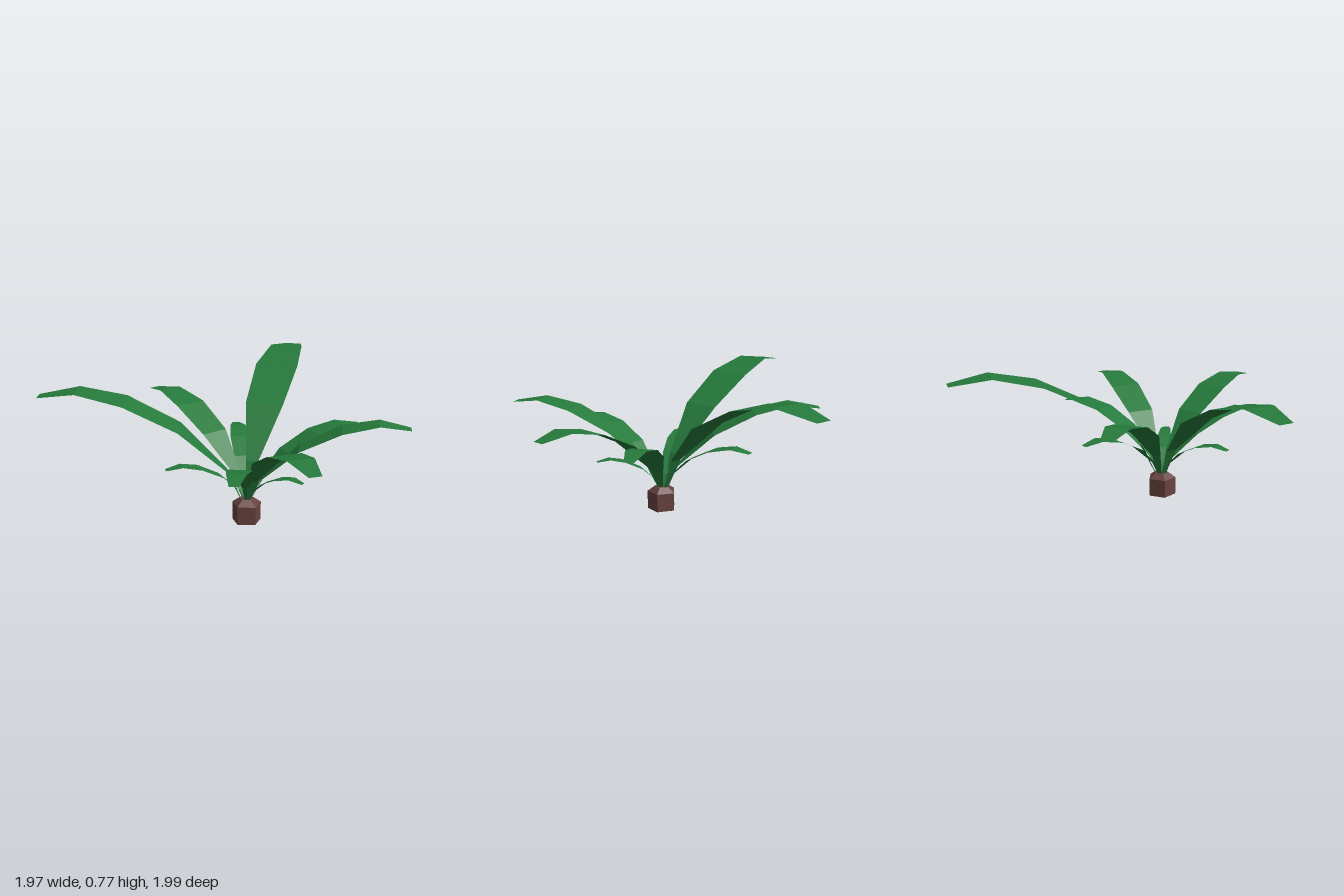
import * as THREE from 'three';

const leafGreen = new THREE.MeshStandardMaterial({ color: 0x267a3c, flatShading: true, side: THREE.DoubleSide });
leafGreen.name = 'leaf green';
const trunkBrown = new THREE.MeshStandardMaterial({ color: 0x684340, flatShading: true });
trunkBrown.name = 'trunk brown';

// Centre of the plant and height where the leaves sprout
const CX = 0.125, CZ = 0.163, SPROUT = 0.11;

// Leaf cross-sections for a leaf of reach 1: [distance out, height, width]
const SECTIONS = [
  [0.02, 0.0, 0.02],
  [0.1, 0.165, 0.058],
  [0.325, 0.375, 0.182],
  [0.585, 0.505, 0.21],
  [0.81, 0.555, 0.16],
  [1.0, 0.525, 0.076],
];

// Leaf tips in plan: [name, x, z]
const TIPS = [
  ['backLongLeaf', 0.42, -0.99],
  ['rightLongLeaf', -0.99, 0.145],
  ['leftLongLeaf', 0.98, 0.255],
  ['frontLongLeaf', 0.432, 0.982],
  ['backRightLeaf', -0.435, -0.51],
  ['backLeftLeaf', 0.755, -0.125],
  ['frontLeaf', 0.063, 0.8],
  ['backSmallLeaf', 0.058, -0.375],
  ['frontLeftSmallLeaf', 0.415, 0.388],
  ['frontRightSmallLeaf', -0.3, 0.325],
];

// Arching flat strip running along +z
function leafGeometry() {
  const pos = [], index = [];
  SECTIONS.forEach(([d, h, w], i) => {
    pos.push(-w / 2, h, d, w / 2, h, d);
    if (i > 0) {
      const a = 2 * i - 2;
      index.push(a, a + 2, a + 1, a + 1, a + 2, a + 3);
    }
  });
  const indexed = new THREE.BufferGeometry();
  indexed.setAttribute('position', new THREE.Float32BufferAttribute(pos, 3));
  indexed.setIndex(index);
  const geo = indexed.toNonIndexed();
  geo.computeVertexNormals();
  return geo;
}

// Five-sided trunk piece with one corner to the back
function trunkPiece(name, rTop, rBottom, y0, y1) {
  const geo = new THREE.CylinderGeometry(rTop, rBottom, y1 - y0, 5);
  const mesh = new THREE.Mesh(geo, trunkBrown);
  mesh.name = name;
  mesh.rotation.y = Math.PI;
  mesh.position.set(CX, (y0 + y1) / 2, 0.166);
  return mesh;
}

export function createModel() {
  const plant = new THREE.Group();
  plant.name = 'plant';

  // Stubby trunk with a sloped shoulder
  plant.add(trunkPiece('trunk', 0.082, 0.082, 0, 0.102));
  plant.add(trunkPiece('trunkShoulder', 0.04, 0.082, 0.102, 0.132));

  // Leaves share one shape, scaled by their reach and turned outward
  const leaves = new THREE.Group();
  leaves.name = 'leaves';
  const geo = leafGeometry();
  for (const [name, x, z] of TIPS) {
    const leaf = new THREE.Mesh(geo, leafGreen);
    leaf.name = name;
    leaf.position.set(CX, SPROUT, CZ);
    leaf.rotation.y = Math.atan2(x - CX, z - CZ);
    leaf.scale.setScalar(Math.hypot(x - CX, z - CZ));
    leaves.add(leaf);
  }
  plant.add(leaves);
  return plant;
}
